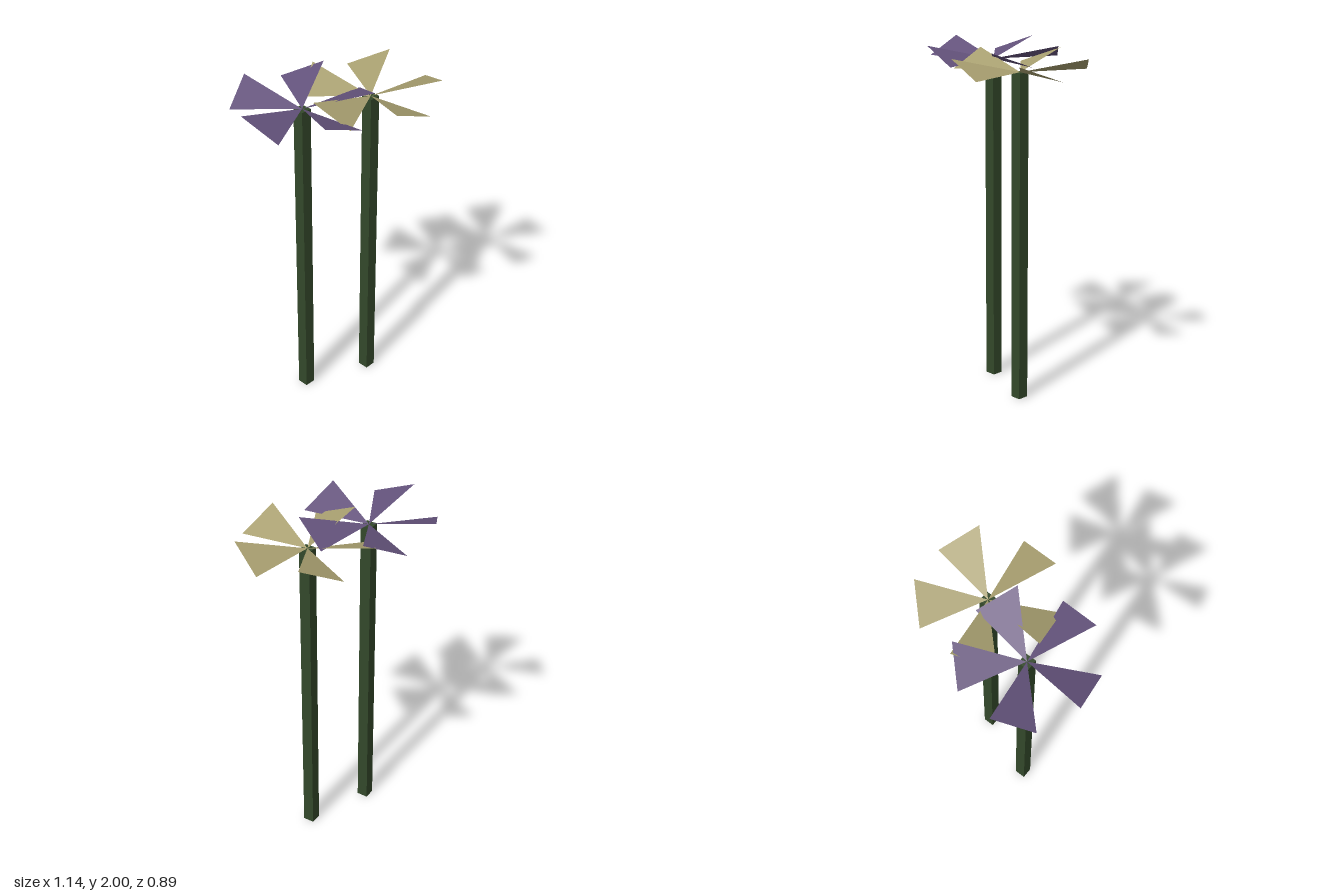
import * as THREE from 'three';

const flat = (name, color) => {
  const m = new THREE.MeshStandardMaterial({ color, flatShading: true });
  m.name = name;
  return m;
};

// One thin triangular petal: tip at the hub, one outer corner raised
function petalGeometry(radius, rise) {
  const a = Math.PI / 5;
  const g = new THREE.BufferGeometry();
  g.setAttribute('position', new THREE.Float32BufferAttribute([
    0, 0, 0,
    radius, rise, 0,
    radius * Math.cos(a), 0, -radius * Math.sin(a),
  ], 3));
  g.computeVertexNormals();
  return g;
}

// Square stem set cornerwise, topped by five twisted petals
function makeFlower(name, x, z, height, stemMaterial, petalMaterial) {
  const flower = new THREE.Group();
  flower.name = name;
  flower.position.set(x, 0, z);

  const stem = new THREE.Mesh(new THREE.CylinderGeometry(0.046, 0.046, height, 4), stemMaterial);
  stem.name = 'stem';
  stem.position.y = height / 2;
  flower.add(stem);

  const geometry = petalGeometry(0.385, 0.09);
  for (let i = 0; i < 5; i++) {
    const petal = new THREE.Mesh(geometry, petalMaterial);
    petal.name = 'petal';
    petal.position.y = height + 0.0005;
    petal.rotation.y = (i * 2 * Math.PI) / 5;
    flower.add(petal);
  }
  return flower;
}

export function createModel() {
  const green = flat('stem green', 0x33482a);
  const purple = flat('petal purple', 0x64537c);
  const yellow = flat('petal straw yellow', 0xa89f70);
  purple.side = yellow.side = THREE.DoubleSide;

  const model = new THREE.Group();
  model.name = 'flowers';
  model.add(
    makeFlower('purpleFlower', -0.185, 0.077, 1.91, green, purple),
    makeFlower('yellowFlower', 0.185, -0.079, 1.896, green, yellow),
  );
  return model;
}
